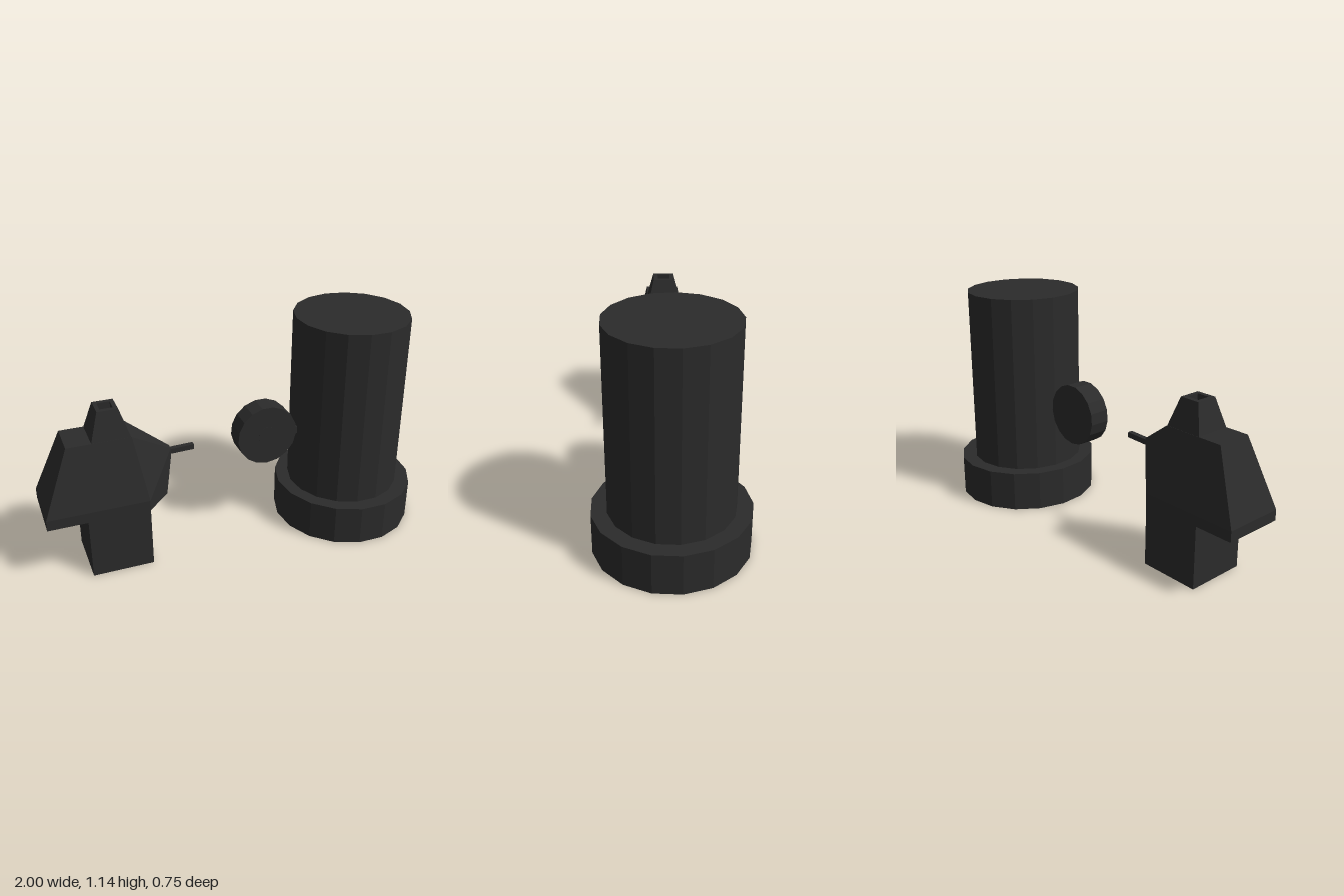
import * as THREE from 'three';
import { ConvexGeometry } from 'three/addons/geometries/ConvexGeometry.js';

const SIDES = 17;

export function createModel() {
  const group = new THREE.Group();
  const material = new THREE.MeshStandardMaterial({ color: 0x2b2b2b, flatShading: true });

  const add = (name, geometry, x = 0, y = 0, z = 0) => {
    const mesh = new THREE.Mesh(geometry, material);
    mesh.name = name;
    mesh.position.set(x, y, z);
    group.add(mesh);
    return mesh;
  };

  // Convex solid from [x, y, halfDepth] corners mirrored across z
  const mirroredHull = (corners) => new ConvexGeometry(
    corners.flatMap(([x, y, z]) => [new THREE.Vector3(x, y, z), new THREE.Vector3(x, y, -z)]));

  // Rectangular rings [y, x0, x1, halfDepth] joined in order, last ring capped
  const rectLoft = (rings) => {
    const pos = rings.flatMap(([y, x0, x1, z]) => [x0, y, z, x1, y, z, x1, y, -z, x0, y, -z]);
    const index = [];
    for (let r = 0; r < rings.length - 1; r++) {
      for (let i = 0; i < 4; i++) {
        const a = r * 4 + i, b = r * 4 + (i + 1) % 4;
        index.push(a, b, b + 4, a, b + 4, a + 4);
      }
    }
    const e = (rings.length - 1) * 4;
    index.push(e, e + 1, e + 2, e, e + 2, e + 3);
    const g = new THREE.BufferGeometry();
    g.setAttribute('position', new THREE.Float32BufferAttribute(pos, 3));
    g.setIndex(index);
    const flat = g.toNonIndexed();
    flat.computeVertexNormals();
    return flat;
  };

  // Slightly oval upright drum
  const drum = (rx, rz, height) => new THREE.CylinderGeometry(1, 1, height, SIDES)
    .rotateY(Math.PI).scale(rx, 1, rz);

  // Large drum on its wider foot
  add('drumFoot', drum(0.365, 0.379, 0.21), 0.636, 0.105, 0.003);
  add('drumBody', drum(0.293, 0.304, 0.935), 0.632, 0.6765, 0.003);

  // Side wheel with flush hub and short axle to the drum
  const disc = (r, depth) => new THREE.CylinderGeometry(r, r, depth, SIDES).rotateX(Math.PI / 2);
  add('wheel', disc(0.16, 0.108), 0.165, 0.557, 0);
  add('wheelHub', disc(0.048, 0.05), 0.165, 0.557, 0.03);
  add('wheelAxle', new THREE.BoxGeometry(0.1, 0.04, 0.05), 0.32, 0.542, 0);

  // Square pedestal
  add('pedestal', new THREE.BoxGeometry(0.31, 0.33, 0.31), -0.648, 0.165, 0);

  // Tapered housing with pointed nose
  add('housing', mirroredHull([
    [-1, 0.32, 0.155], [-1, 0.374, 0.155],
    [-0.493, 0.32, 0.155], [-0.493, 0.374, 0.155],
    [-0.865, 0.71, 0.092], [-0.55, 0.71, 0.092],
    [-0.34, 0.566, 0.015], [-0.34, 0.523, 0.015],
    [-0.375, 0.497, 0.04], [-0.375, 0.32, 0.04],
  ]));

  // Hollow chimney on the housing
  add('chimney', rectLoft([
    [0.705, -0.745, -0.55, 0.092],
    [0.852, -0.7, -0.597, 0.056],
    [0.852, -0.681, -0.617, 0.033],
    [0.77, -0.681, -0.617, 0.033],
  ]));

  // Thin rod from the nose tip
  const rod = add('noseRod', new THREE.BoxGeometry(0.15, 0.027, 0.026), -0.293, 0.546, 0);
  rod.rotation.z = 0.03;

  return group;
}
